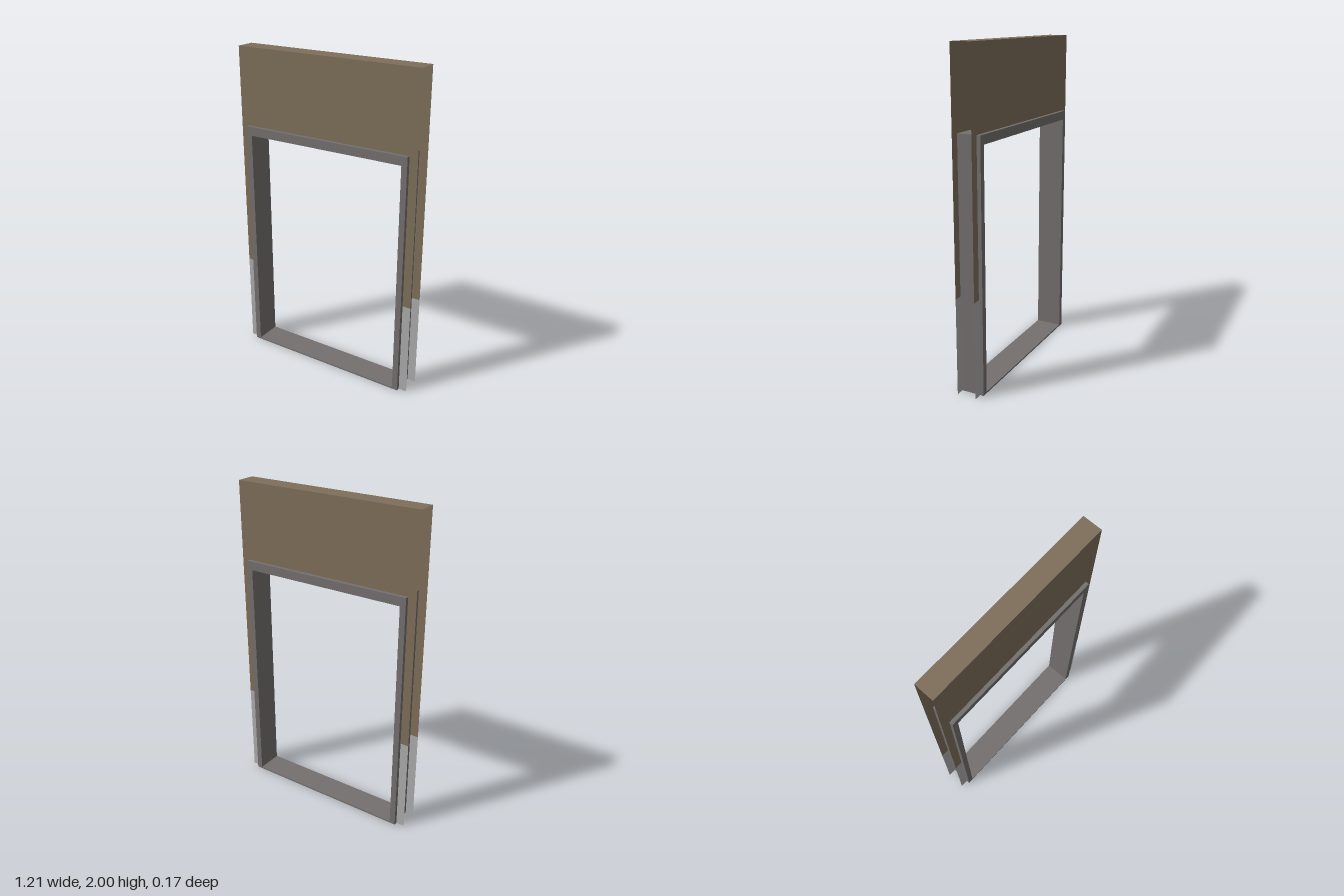
import * as THREE from 'three';

const W = 0.605, WALL_Z = 0.06, H = 2, SKIRT = 0.59;   // wall half width, half thickness, heights
const FX = 0.553, FY = 1.52, IX = 0.517, IY = 1.465, SILL = 0.01, FZ = 0.083; // door frame

const mat = (name, color) => {
  const m = new THREE.MeshStandardMaterial({ color });
  m.name = name;
  return m;
};

function polygon(points) {
  return new THREE.Shape(points.map(([x, y]) => new THREE.Vector2(x, y)));
}

export function createModel() {
  const group = new THREE.Group();
  const plaster = mat('brown wall', 0x7e6f59);
  const skirting = mat('light grey base', 0xacacac);
  const frameGrey = mat('warm grey frame', 0x757070);
  plaster.side = skirting.side = THREE.DoubleSide;

  const add = (name, geometry, material, z = 0) => {
    const mesh = new THREE.Mesh(geometry, material);
    mesh.name = name;
    mesh.position.z = z;
    group.add(mesh);
    return mesh;
  };

  // Thin wall faces around the doorway, with a painted lower band
  const upper = new THREE.ShapeGeometry(polygon([
    [-W, SKIRT], [-FX, SKIRT], [-FX, FY], [FX, FY], [FX, SKIRT], [W, SKIRT], [W, H], [-W, H],
  ]));
  const band = new THREE.PlaneGeometry(W - FX, SKIRT);
  for (const [side, s] of [['front', 1], ['back', -1]]) {
    const wall = add(side + 'Wall', upper, plaster, s * WALL_Z);
    if (s < 0) wall.rotation.y = Math.PI;
    for (const [end, e] of [['Left', 1], ['Right', -1]]) {
      const strip = add(side + end + 'WallBase', band, skirting, s * WALL_Z);
      strip.position.x = e * (W + FX) / 2;
      strip.position.y = SKIRT / 2;
      if (s < 0) strip.rotation.y = Math.PI;
    }
  }

  // Wall top; the two ends stay open
  const top = add('wallTop', new THREE.PlaneGeometry(2 * W, 2 * WALL_Z), plaster);
  top.rotation.x = -Math.PI / 2;
  top.position.y = H;

  // Door frame with jambs, head and a thin sill
  const frame = polygon([[-FX, 0], [FX, 0], [FX, FY], [-FX, FY]]);
  frame.holes.push(polygon([[-IX, SILL], [-IX, IY], [IX, IY], [IX, SILL]]));
  add('doorFrame', new THREE.ExtrudeGeometry(frame, { depth: 2 * FZ, bevelEnabled: false }), frameGrey, -FZ);

  return group;
}
